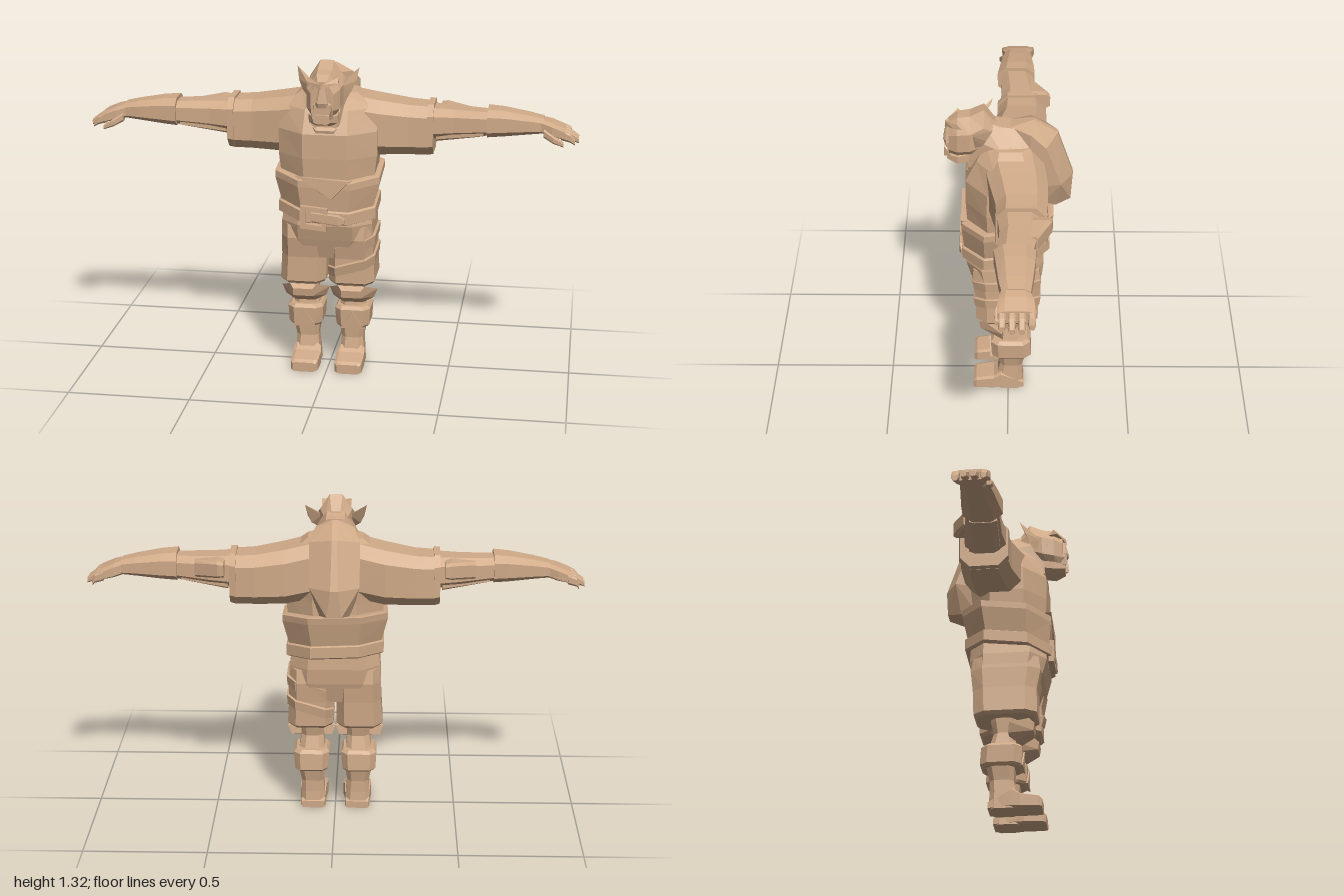
import * as THREE from 'three';
import { ConvexGeometry } from 'three/addons/geometries/ConvexGeometry.js';

const skin = new THREE.MeshStandardMaterial({ color: 0xd0aa88, flatShading: true });
skin.name = 'tan';

// Eight-sided section across an axis: spans a0..a1 and b0..b1 with cut corners.
// tilt shifts points along the axis in proportion to a and b.
function ring(axis, [t, a0, a1, b0, b1], cut, tilt = [0, 0]) {
  const ca = (a1 - a0) * cut / 2, cb = (b1 - b0) * cut / 2;
  const pts = [[a0 + ca, b0], [a1 - ca, b0], [a1, b0 + cb], [a1, b1 - cb],
    [a1 - ca, b1], [a0 + ca, b1], [a0, b1 - cb], [a0, b0 + cb]];
  return pts.map(([a, b]) => {
    const u = t + a * tilt[0] + b * tilt[1];
    return axis === 'x' ? [u, a, b] : axis === 'y' ? [a, u, b] : [a, b, u];
  });
}

// Closed skin through rings, turned outward by its signed volume
function loft(rings) {
  const n = rings[0].length, tris = [];
  for (let i = 0; i + 1 < rings.length; i++) {
    for (let j = 0; j < n; j++) {
      const k = (j + 1) % n, p = rings[i], q = rings[i + 1];
      tris.push([p[j], p[k], q[k]], [p[j], q[k], q[j]]);
    }
  }
  const first = rings[0], last = rings[rings.length - 1];
  for (let j = 1; j + 1 < n; j++) {
    tris.push([first[0], first[j + 1], first[j]], [last[0], last[j], last[j + 1]]);
  }
  const v = (p) => new THREE.Vector3(...p);
  const volume = tris.reduce((s, [a, b, c]) => s + v(a).dot(v(b).cross(v(c))), 0);
  if (volume < 0) tris.forEach((t) => t.reverse());
  const geo = new THREE.BufferGeometry();
  geo.setAttribute('position', new THREE.Float32BufferAttribute(tris.flat(2), 3));
  geo.computeVertexNormals();
  return geo;
}

export function createModel() {
  const model = new THREE.Group();
  const add = (name, geo) => {
    const mesh = new THREE.Mesh(geo, skin);
    mesh.name = name;
    model.add(mesh);
    return mesh;
  };
  // side -1 mirrors the part to the model's right
  const part = (name, axis, rows, cut = 0.4, side = 1, tilt) => add(name,
    loft(rows.map((r) => ring(axis, r, cut, tilt).map(([x, y, z]) => [x * side, y, z]))));
  const hull = (name, pts, side = 1) => add(name,
    new ConvexGeometry(pts.map(([x, y, z]) => new THREE.Vector3(x * side, y, z))));
  // hull that is symmetric in x
  const twinHull = (name, pts) => hull(name, pts.flatMap(([x, y, z]) => [[x, y, z], [-x, y, z]]));

  // Torso, hunched back and neck
  part('shirt', 'y', [
    [0.72, -0.165, 0.165, -0.14, 0.15], [0.84, -0.19, 0.19, -0.14, 0.165],
    [0.93, -0.2, 0.2, -0.14, 0.17], [1.03, -0.2, 0.2, -0.15, 0.17],
    [1.12, -0.19, 0.19, -0.15, 0.125], [1.18, -0.11, 0.11, -0.11, 0.09]], 0.55);
  twinHull('hump', [[0.06, 0.897, -0.19], [0.075, 0.92, -0.14], [0.03, 0.91, -0.25],
    [0.1, 1.02, -0.21], [0.015, 1.02, -0.258], [0.1, 1.19, -0.15], [0.01, 1.21, -0.195],
    [0.01, 1.268, -0.1], [0.078, 1.235, -0.09], [0.03, 1.245, -0.01], [0.09, 1.0, -0.08]]);
  part('neck', 'z', [
    [-0.1, -0.08, 0.08, 1.0, 1.245], [-0.05, -0.095, 0.095, 1.0, 1.24],
    [0.03, -0.095, 0.095, 1.0, 1.25], [0.1, -0.075, 0.075, 1.02, 1.27],
    [0.16, -0.055, 0.055, 1.04, 1.14]], 0.6);
  part('collar', 'y', [
    [1.15, -0.12, 0.12, -0.06, 0.165], [1.175, -0.12, 0.12, -0.06, 0.17],
    [1.185, -0.1, 0.1, -0.05, 0.15]], 0.7, 1, [0, -0.75]);

  // Head and face
  part('head', 'z', [
    [0.05, -0.045, 0.045, 1.16, 1.26], [0.095, -0.065, 0.065, 1.12, 1.32],
    [0.15, -0.073, 0.073, 1.1, 1.292], [0.2, -0.066, 0.066, 1.09, 1.285],
    [0.235, -0.045, 0.045, 1.1, 1.262]], 0.6);
  part('jaw', 'z', [
    [0.13, -0.055, 0.055, 1.09, 1.15], [0.2, -0.058, 0.058, 1.078, 1.135],
    [0.243, -0.035, 0.035, 1.093, 1.13]], 0.45);
  part('muzzle', 'z', [
    [0.18, -0.055, 0.055, 1.14, 1.2], [0.246, -0.032, 0.032, 1.143, 1.18]], 0.5);
  part('nose', 'y', [
    [1.16, -0.024, 0.024, 0.21, 0.25], [1.18, -0.025, 0.025, 0.21, 0.257],
    [1.245, -0.011, 0.011, 0.21, 0.245]], 0.4);
  for (const s of [1, -1]) {
    hull('ear', [[0.06, 1.165, 0.14], [0.062, 1.225, 0.15], [0.055, 1.23, 0.1],
      [0.1, 1.2, 0.1], [0.115, 1.235, 0.085], [0.125, 1.285, 0.06]], s);
    hull('brow', [[0.004, 1.235, 0.25], [0.004, 1.255, 0.248], [0.06, 1.255, 0.215],
      [0.062, 1.275, 0.2], [0.01, 1.24, 0.21], [0.06, 1.25, 0.18]], s);
    hull('tusk', [[0.026, 1.12, 0.235], [0.045, 1.12, 0.225], [0.036, 1.115, 0.255],
      [0.042, 1.165, 0.253]], s);
    hull('cheek', [[0.035, 1.19, 0.23], [0.072, 1.2, 0.17], [0.06, 1.15, 0.19],
      [0.06, 1.21, 0.2], [0.035, 1.17, 0.225]], s);
  }

  // Arms
  for (const s of [1, -1]) {
    part('sleeve', 'x', [
      [0.08, 0.94, 1.17, -0.14, 0.1], [0.2, 0.92, 1.145, -0.155, 0.075],
      [0.32, 0.92, 1.125, -0.155, 0.048], [0.4, 0.92, 1.12, -0.147, 0.042]], 0.4, s);
    part('sleeveCuff', 'x', [
      [0.395, 0.92, 1.13, -0.155, 0.048], [0.42, 0.925, 1.13, -0.148, 0.046]], 0.4, s);
    part('upperArm', 'x', [
      [0.4, 0.985, 1.115, -0.13, 0.04], [0.5, 0.995, 1.11, -0.12, 0.03],
      [0.64, 1.01, 1.105, -0.095, 0.035]], 0.45, s);
    part('elbowGuard', 'x', [
      [0.44, 1.045, 1.105, -0.172, -0.08], [0.465, 1.04, 1.11, -0.168, -0.07],
      [0.56, 1.03, 1.1, -0.115, -0.06]], 0.3, s);
    part('armWrap', 'x', [
      [0.43, 0.975, 1.04, -0.11, 0.015], [0.62, 1.005, 1.04, -0.085, 0.025]], 0.4, s);
    part('forearm', 'x', [
      [0.635, 1.005, 1.12, -0.108, 0.05], [0.7, 1.01, 1.115, -0.105, 0.042],
      [0.8, 1.02, 1.098, -0.095, 0.03], [0.86, 1.025, 1.085, -0.088, 0.018]], 0.45, s);
    part('palm', 'x', [
      [0.85, 1.027, 1.083, -0.085, 0.02], [0.89, 1.015, 1.073, -0.1, 0.032],
      [0.945, 1.005, 1.05, -0.105, 0.034]], 0.4, s);
    for (let i = 0; i < 4; i++) {
      const z = -0.092 + i * 0.036, tip = i === 0 ? 0.975 : i === 3 ? 0.985 : 1;
      part('finger', 'x', [
        [0.93, 1.008, 1.05, z - 0.015, z + 0.015],
        [0.965, 0.999, 1.035, z - 0.014, z + 0.014],
        [tip, 0.988, 1.01, z - 0.01, z + 0.01]], 0.4, s);
    }
    part('thumb', 'x', [
      [0.86, 1.015, 1.05, -0.005, 0.03], [0.9, 0.995, 1.025, 0.015, 0.045],
      [0.94, 0.982, 1.0, 0.022, 0.042]], 0.4, s);
  }

  // Wrapped sash, belt and buckle
  part('sash', 'y', [
    [0.865, -0.2, 0.2, -0.17, 0.175], [0.862, -0.213, 0.213, -0.182, 0.188],
    [0.835, -0.213, 0.213, -0.178, 0.188], [0.735, -0.187, 0.187, -0.156, 0.178]],
  0.5, 1, [-0.03, -0.12]);
  hull('sashFlap', [[-0.12, 0.855, 0.165], [0.11, 0.845, 0.165], [0.03, 0.765, 0.17],
    [-0.11, 0.86, 0.19], [0.1, 0.845, 0.19], [0.03, 0.77, 0.193]]);
  part('belt', 'y', [
    [0.685, -0.19, 0.19, -0.162, 0.18], [0.69, -0.198, 0.198, -0.167, 0.187],
    [0.735, -0.198, 0.198, -0.167, 0.187], [0.74, -0.19, 0.19, -0.16, 0.18]],
  0.5, 1, [-0.04, -0.12]);
  const frame = new THREE.Shape([[-0.095, 0.645], [0.01, 0.635], [0.015, 0.73], [-0.095, 0.74]]
    .map((p) => new THREE.Vector2(...p)));
  frame.holes.push(new THREE.Path([[-0.075, 0.665], [-0.075, 0.72], [-0.008, 0.712], [-0.008, 0.657]]
    .map((p) => new THREE.Vector2(...p))));
  add('buckle', new THREE.ExtrudeGeometry(frame, { depth: 0.022, bevelEnabled: false }))
    .position.z = 0.176;
  part('beltEnd', 'x', [
    [-0.05, 0.675, 0.715, 0.18, 0.198], [0.06, 0.66, 0.705, 0.18, 0.2],
    [0.085, 0.67, 0.69, 0.17, 0.193]], 0.2);

  // Trousers: the hips narrow into a point between the legs
  part('hips', 'y', [
    [0.74, -0.17, 0.17, -0.14, 0.16], [0.65, -0.185, 0.185, -0.145, 0.17],
    [0.585, -0.187, 0.187, -0.138, 0.152], [0.5, -0.11, 0.11, -0.115, 0.125]], 0.4);
  for (const s of [1, -1]) {
    part('trouserLeg', 'y', [
      [0.64, 0.03, 0.183, -0.125, 0.14], [0.585, 0.005, 0.188, -0.135, 0.148],
      [0.5, 0.005, 0.189, -0.126, 0.132],
      [0.395, 0.006, 0.195, -0.122, 0.132], [0.382, 0.015, 0.185, -0.11, 0.12]], 0.35, s);
  }
  for (const y of [0.415, 0.5]) {
    part('legStrap', 'y', [
      [y, 0.004, 0.195, -0.128, 0.135], [y + 0.04, 0.002, 0.198, -0.134, 0.143],
      [y + 0.045, 0.01, 0.19, -0.125, 0.13]], 0.35, 1, [0.3, -0.03]);
  }

  // Lower legs, knee guards and boots
  for (const s of [1, -1]) {
    part('shin', 'y', [
      [0.42, 0.04, 0.15, -0.06, 0.05], [0.37, 0.045, 0.145, -0.055, 0.045],
      [0.32, 0.05, 0.14, -0.045, 0.04], [0.24, 0.04, 0.155, -0.07, 0.05]], 0.45, s);
    hull('kneeGuard', [[0.06, 0.357, 0.12], [0.14, 0.357, 0.12], [0.06, 0.325, 0.115],
      [0.14, 0.325, 0.115], [0.045, 0.372, 0.1], [0.155, 0.372, 0.1], [0.06, 0.285, 0.05],
      [0.14, 0.285, 0.05], [0.0, 0.34, 0.025], [0.2, 0.34, 0.025],
      [0.015, 0.3, 0.02], [0.185, 0.3, 0.02]], s);
    part('bootCuff', 'y', [
      [0.175, 0.035, 0.16, -0.085, 0.06], [0.185, 0.03, 0.168, -0.097, 0.068],
      [0.255, 0.025, 0.172, -0.092, 0.072], [0.268, 0.035, 0.16, -0.08, 0.06]], 0.35, s);
    hull('bootFlap', [[0.06, 0.18, 0.06], [0.14, 0.18, 0.06], [0.1, 0.25, 0.078],
      [0.05, 0.175, 0.074], [0.15, 0.175, 0.074], [0.1, 0.25, 0.06]], s);
    part('bootShaft', 'y', [
      [0.0, 0.04, 0.145, -0.065, 0.05], [0.07, 0.045, 0.142, -0.06, 0.045],
      [0.12, 0.05, 0.14, -0.06, 0.035], [0.19, 0.04, 0.155, -0.075, 0.04]], 0.4, s);
    part('bootFoot', 'z', [
      [-0.066, 0.045, 0.14, 0, 0.03], [0.03, 0.038, 0.148, 0, 0.085],
      [0.06, 0.033, 0.15, 0, 0.063], [0.135, 0.035, 0.148, 0, 0.05],
      [0.147, 0.045, 0.14, 0, 0.04]], 0.22, s);
  }
  return model;
}
